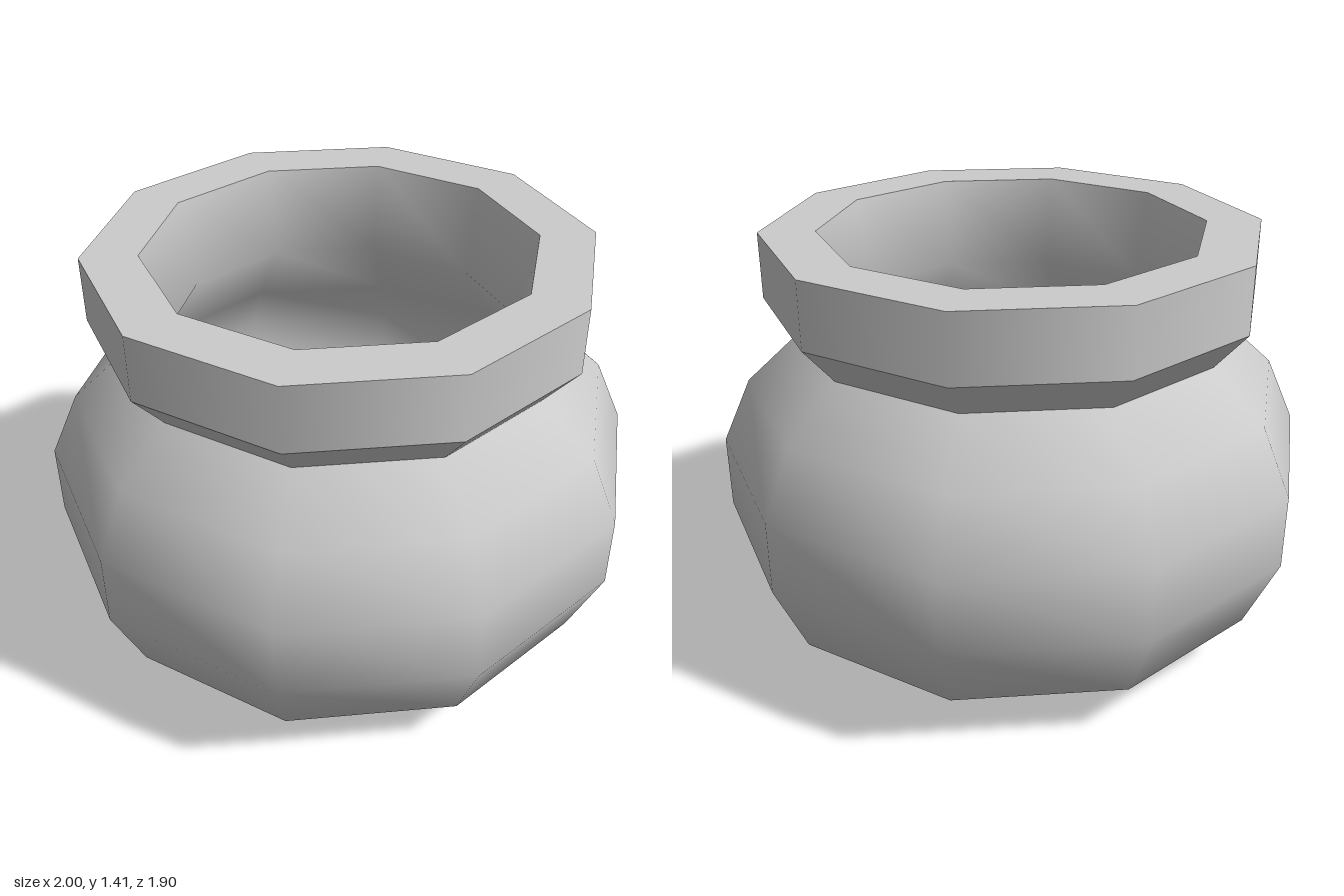
import * as THREE from 'three';

const SIDES = 10;

// Each profile runs up the outside, over the rim and down the inside.
// Separate profiles keep a sharp edge where they meet.
const PROFILES = {
  body: [[0, 0], [0.64, 0], [0.89, 0.18], [1, 0.43], [1, 0.68], [0.9, 0.9], [0.72, 1.065]],
  neckFlare: [[0.72, 1.065], [0.825, 1.19]],
  rimBand: [[0.825, 1.19], [0.825, 1.41]],
  rimTop: [[0.825, 1.41], [0.64, 1.41]],
  innerWall: [[0.64, 1.41], [0.59, 1.11], [0.77, 0.85], [0.87, 0.66], [0.87, 0.45], [0.78, 0.26], [0.61, 0.13]],
  innerFloor: [[0.61, 0.13], [0, 0.13]],
};

export function createModel() {
  const pot = new THREE.Group();
  pot.name = 'pot';
  const material = new THREE.MeshStandardMaterial({ color: 0xcccccc });

  for (const [name, profile] of Object.entries(PROFILES)) {
    const points = profile.map(([r, y]) => new THREE.Vector2(r, y));
    // Start at +x so that corners lie on the x axis
    const geometry = new THREE.LatheGeometry(points, SIDES, Math.PI / 2);
    const mesh = new THREE.Mesh(geometry, material);
    mesh.name = name;
    pot.add(mesh);
  }
  return pot;
}
